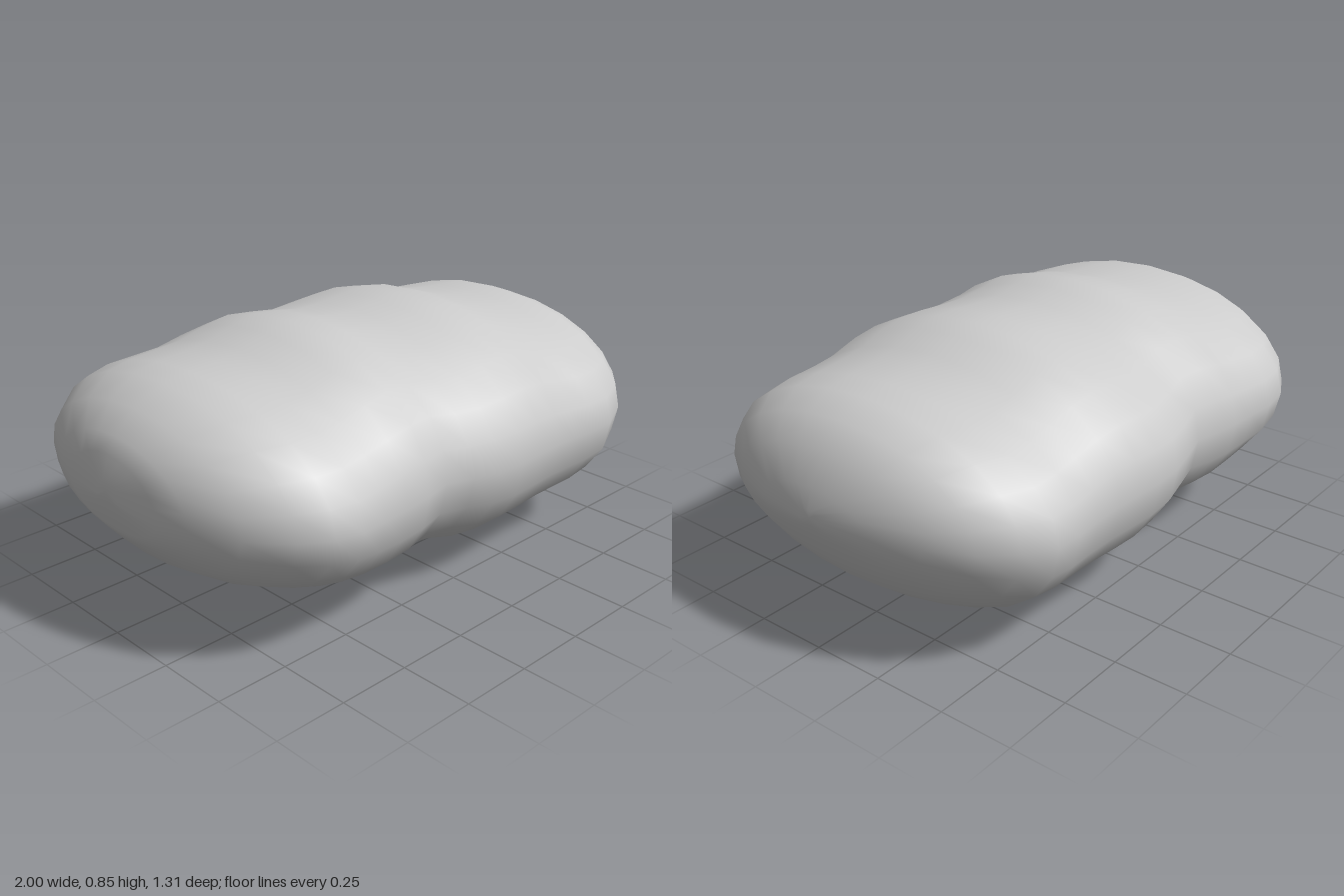
import * as THREE from 'three';

// Cross-sections along x: [x, top y, bottom y, half depth]
const sections = [
  [-1.0, 0.52, 0.46, 0.05], [-0.98, 0.6, 0.36, 0.22], [-0.95, 0.65, 0.32, 0.33],
  [-0.88, 0.72, 0.24, 0.48], [-0.77, 0.77, 0.17, 0.59], [-0.67, 0.78, 0.13, 0.64],
  [-0.57, 0.785, 0.09, 0.65], [-0.47, 0.8, 0.05, 0.635], [-0.37, 0.83, 0.03, 0.63],
  [-0.27, 0.85, 0.035, 0.625], [-0.17, 0.84, 0.055, 0.605], [-0.07, 0.82, 0.05, 0.63],
  [0.03, 0.82, 0.02, 0.65], [0.14, 0.83, 0.003, 0.655], [0.24, 0.835, 0.003, 0.65],
  [0.34, 0.82, 0.01, 0.643], [0.44, 0.785, 0.01, 0.635], [0.54, 0.765, 0.02, 0.64],
  [0.64, 0.755, 0.045, 0.64], [0.75, 0.75, 0.11, 0.595], [0.85, 0.71, 0.19, 0.51],
  [0.93, 0.645, 0.29, 0.38], [0.98, 0.545, 0.38, 0.22], [1.0, 0.48, 0.43, 0.04],
];
const SIDES = 24;

// Oval rings joined into one closed skin with a pole at each end
function loft() {
  const pos = [], index = [];
  for (const [x, top, bottom, depth] of sections) {
    const mid = ((top + bottom) / 2 + 0.44) / 2;
    for (let j = 0; j < SIDES; j++) {
      const a = (j / SIDES) * Math.PI * 2;
      const s = Math.sin(a), c = Math.cos(a);
      // the underside is slightly fuller than an ellipse
      const y = s > 0 ? mid + s * (top - mid) : mid - Math.pow(-s, 0.94) * (mid - bottom);
      pos.push(x, y, c * depth);
    }
  }
  const n = sections.length;
  for (let i = 0; i < n - 1; i++) {
    for (let j = 0; j < SIDES; j++) {
      const k = (j + 1) % SIDES;
      const a = i * SIDES + j, b = i * SIDES + k;
      index.push(a, a + SIDES, b, b, a + SIDES, b + SIDES);
    }
  }
  const left = n * SIDES, right = left + 1, last = (n - 1) * SIDES;
  pos.push(-1, 0.49, 0, 1, 0.455, 0);
  for (let j = 0; j < SIDES; j++) {
    const k = (j + 1) % SIDES;
    index.push(left, j, k, right, last + k, last + j);
  }
  const geo = new THREE.BufferGeometry();
  geo.setAttribute('position', new THREE.Float32BufferAttribute(pos, 3));
  geo.setIndex(index);
  geo.computeVertexNormals();
  return geo;
}

export function createModel() {
  const group = new THREE.Group();
  const body = new THREE.Mesh(loft(), new THREE.MeshStandardMaterial({ color: 0xcccccc }));
  body.name = 'lumpyBody';
  group.add(body);
  return group;
}
